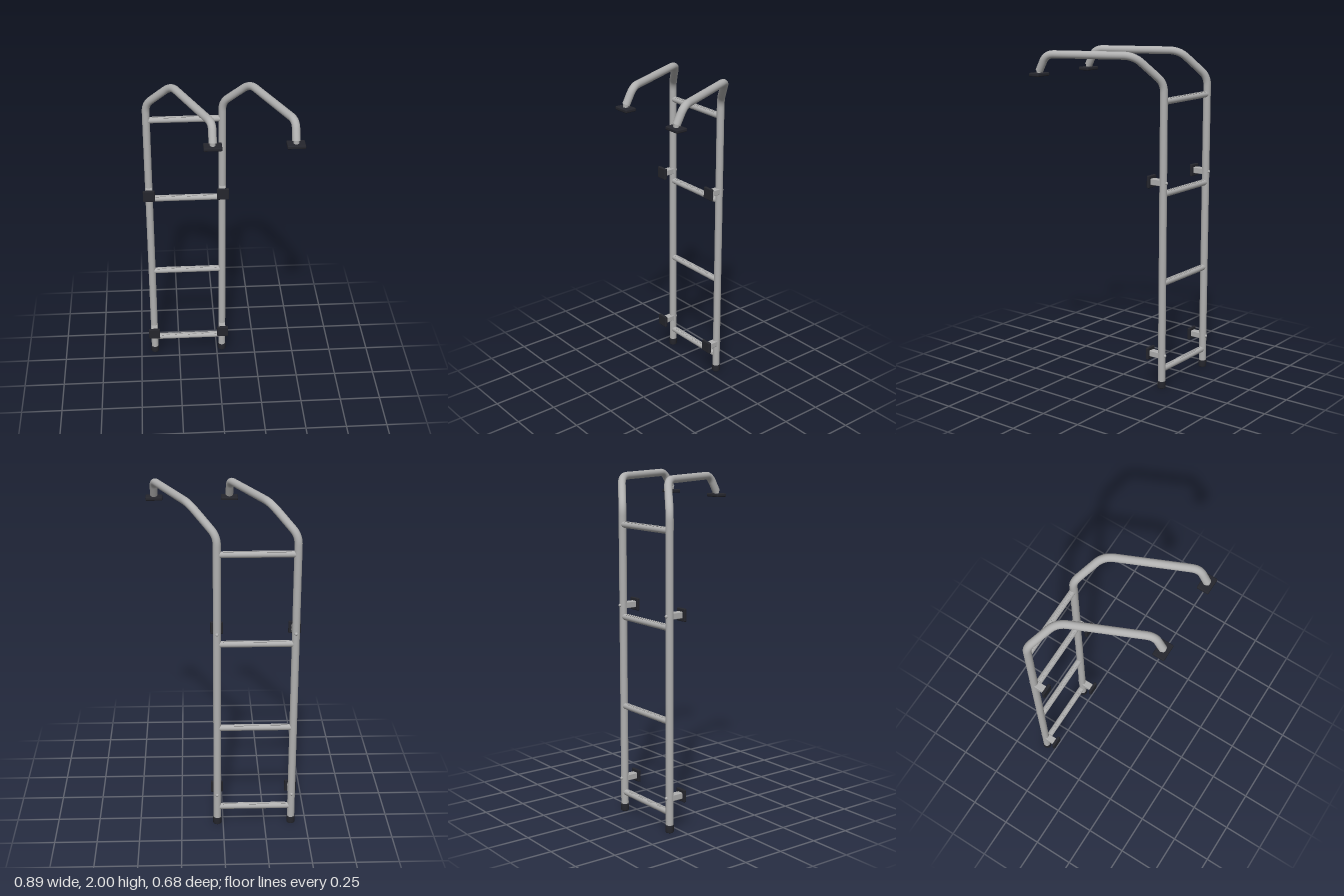
import * as THREE from 'three';
import { RoundedBoxGeometry } from 'three/addons/geometries/RoundedBoxGeometry.js';

const V = (x, y, z) => new THREE.Vector3(x, y, z);
const RAIL_R = 0.0225, RAIL_Z = -0.312, RAIL_X = [-0.41, 0.035];

// Straight runs joined by rounded corners
function filletPath(points, radii) {
  const path = new THREE.CurvePath();
  let start = points[0];
  for (let i = 1; i < points.length - 1; i++) {
    const p = points[i], r = radii[i - 1];
    const a = p.clone().add(points[i - 1].clone().sub(p).setLength(r));
    const b = p.clone().add(points[i + 1].clone().sub(p).setLength(r));
    path.add(new THREE.LineCurve3(start, a));
    path.add(new THREE.QuadraticBezierCurve3(a, p, b));
    start = b;
  }
  path.add(new THREE.LineCurve3(start, points[points.length - 1]));
  return path;
}

export function createModel() {
  const metal = new THREE.MeshStandardMaterial({ color: 0xb0b0b0 });
  metal.name = 'brushedMetal';
  const rubber = new THREE.MeshStandardMaterial({ color: 0x25262d });
  rubber.name = 'blackRubber';

  const model = new THREE.Group();
  model.name = 'hookLadder';
  const add = (parent, name, geometry, material, x = 0, y = 0, z = 0) => {
    const mesh = new THREE.Mesh(geometry, material);
    mesh.name = name;
    mesh.position.set(x, y, z);
    parent.add(mesh);
    return mesh;
  };

  // Side rails, each with a hooked top, foot, hook pad and wall stand-offs
  const path = filletPath([
    V(0, 0.03, RAIL_Z), V(0, 1.82, RAIL_Z), V(0.15, 1.9775, -0.212),
    V(0.355, 1.9775, 0.25), V(0.355, 1.882, 0.302),
  ], [0.05, 0.06, 0.045]);
  const railGeometry = new THREE.TubeGeometry(path, 240, RAIL_R, 24);
  const end = path.getPoint(1), endDir = path.getTangent(1);

  RAIL_X.forEach((x, i) => {
    const side = new THREE.Group();
    side.name = i ? 'leftSide' : 'rightSide';
    side.position.x = x;
    model.add(side);

    add(side, 'rail', railGeometry, metal);
    const cap = add(side, 'railEnd', new THREE.CircleGeometry(RAIL_R, 24), metal, end.x, end.y, end.z);
    cap.quaternion.setFromUnitVectors(V(0, 0, 1), endDir);

    // Rubber foot with softened rims
    const foot = [[0, 0], [0.021, 0], [0.025, 0.005], [0.025, 0.04], [0.0225, 0.045]]
      .map(([r, y]) => new THREE.Vector2(r, y));
    add(side, 'foot', new THREE.LatheGeometry(foot, 24), rubber, 0, 0, RAIL_Z);

    // Pad under the hook
    add(side, 'hookStem', new THREE.CylinderGeometry(0.016, 0.016, 0.03, 16), metal, 0.355, 1.88, 0.304);
    add(side, 'hookPad', new RoundedBoxGeometry(0.1, 0.02, 0.071, 2, 0.006), rubber, 0.355, 1.861, 0.304);

    // Wall stand-offs: bracket, pad and rear bolt
    for (const y of [0.205, 1.25]) {
      const standOff = new THREE.Group();
      standOff.name = 'standOff';
      standOff.position.y = y;
      side.add(standOff);
      add(standOff, 'bracket', new RoundedBoxGeometry(0.04, 0.037, 0.078, 2, 0.004), metal, 0, 0, -0.27);
      add(standOff, 'wallPad', new RoundedBoxGeometry(0.072, 0.073, 0.018, 2, 0.005), rubber, 0, 0, -0.228);
      const bolt = add(standOff, 'bolt',
        new THREE.SphereGeometry(0.01, 14, 7, 0, Math.PI * 2, 0, Math.PI / 2), metal, 0, 0, RAIL_Z - 0.021);
      bolt.rotation.x = -Math.PI / 2;
    }
  });

  // Rungs with fine grip ribs along the top
  const span = RAIL_X[1] - RAIL_X[0], midX = (RAIL_X[0] + RAIL_X[1]) / 2;
  for (const y of [0.117, 0.65, 1.183, 1.716]) {
    const rung = new THREE.Group();
    rung.name = 'rung';
    rung.position.set(midX, y, RAIL_Z);
    model.add(rung);
    add(rung, 'rungTube', new THREE.CylinderGeometry(0.0185, 0.0185, span, 24), metal).rotation.z = Math.PI / 2;
    for (let k = -2; k <= 2; k++) {
      const a = k * 0.3;
      const rib = add(rung, 'gripRib', new THREE.BoxGeometry(span - 0.07, 0.003, 0.002), metal,
        0, 0.0185 * Math.cos(a), 0.0185 * Math.sin(a));
      rib.rotation.x = a;
    }
  }
  return model;
}
